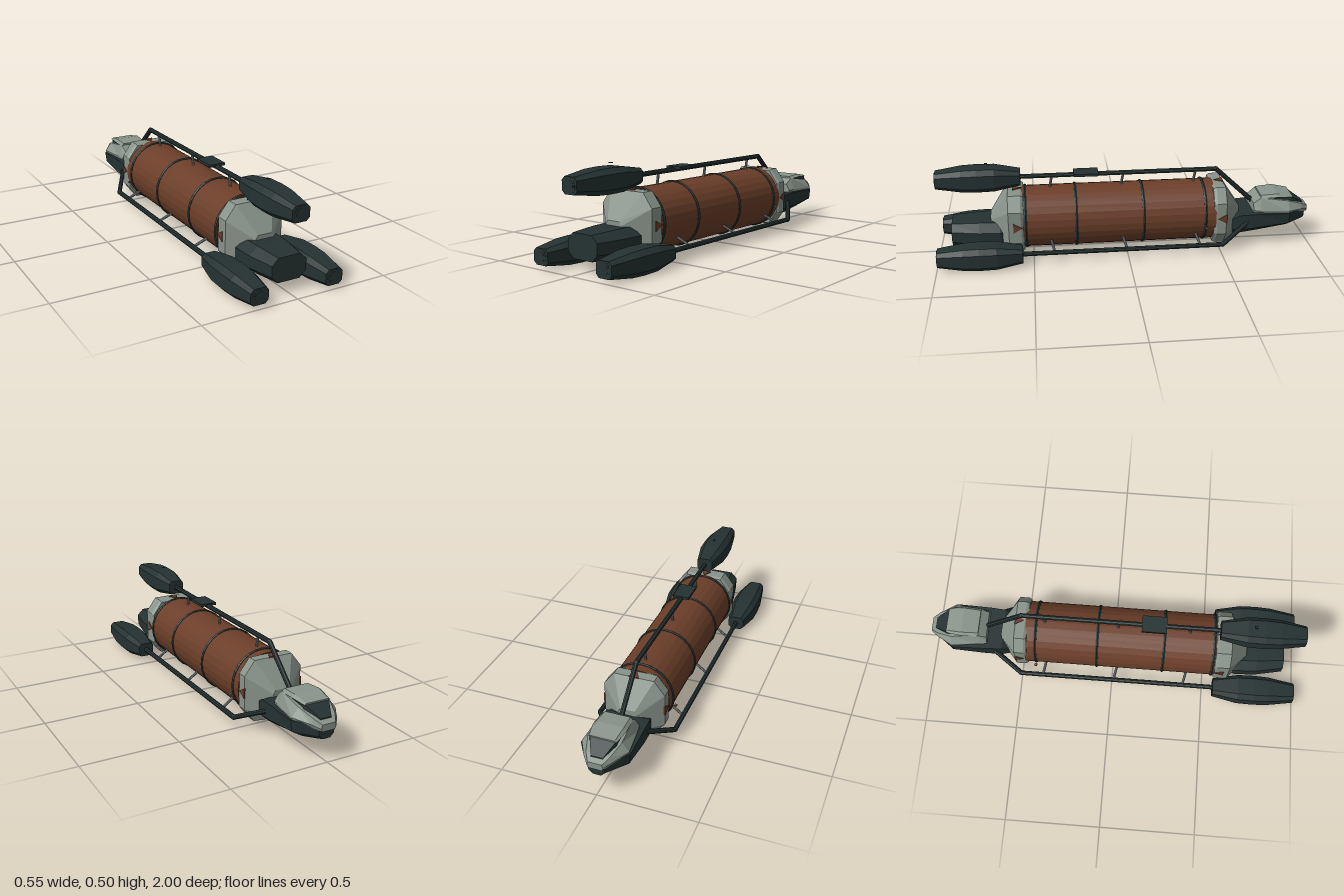
import * as THREE from 'three';

const material = (name, color) => {
  const m = new THREE.MeshStandardMaterial({ color });
  m.name = name;
  return m;
};

// Half profiles (bottom to top, x >= 0) are mirrored and joined along increasing z
function loft(sections) {
  const rings = sections.map(([z, half]) => [
    ...half.map(([x, y]) => [x, y, z]),
    ...half.slice().reverse().map(([x, y]) => [-x, y, z]),
  ]);
  const n = rings[0].length, pos = [];
  const tri = (a, b, c) => pos.push(...a, ...b, ...c);
  for (let s = 0; s < rings.length - 1; s++) {
    for (let i = 0; i < n; i++) {
      const j = (i + 1) % n, A = rings[s], B = rings[s + 1];
      tri(A[i], A[j], B[j]);
      tri(A[i], B[j], B[i]);
    }
  }
  const first = rings[0], last = rings[rings.length - 1];
  for (let i = 1; i < n - 1; i++) {
    tri(first[0], first[i + 1], first[i]);
    tri(last[0], last[i], last[i + 1]);
  }
  const g = new THREE.BufferGeometry();
  g.setAttribute('position', new THREE.Float32BufferAttribute(pos, 3));
  return g;
}

// Half of a rectangle with cut corners
const octagon = (hw, y0, y1, cx, cy) => [
  [hw - cx, y0], [hw, y0 + cy], [hw, y1 - cy], [hw - cx, y1],
];

export function createModel() {
  const root = new THREE.Group();
  root.name = 'spaceFreighter';
  const dark = material('darkHull', 0x253232);
  const brown = material('rustTank', 0x6b3e29);
  const grey = material('paleHull', 0x89948b);
  const steel = material('strutSteel', 0x7c8483);
  const red = material('redLight', 0x8a4a35);
  const blue = material('blueLight', 0x1c2c4c);

  const add = (name, geometry, mat, parent = root) => {
    const g = geometry.index ? geometry.toNonIndexed() : geometry;
    g.computeVertexNormals(); // faceted look
    const m = new THREE.Mesh(g, mat);
    m.name = name;
    parent.add(m);
    return m;
  };
  const box = (name, mat, size, at) => add(name, new THREE.BoxGeometry(...size), mat).position.set(...at);
  const rod = (name, mat, a, b, r) => {
    const p = new THREE.Vector3(...a), q = new THREE.Vector3(...b);
    const m = add(name, new THREE.CylinderGeometry(r, r, p.distanceTo(q), 8), mat);
    m.position.copy(p).add(q).multiplyScalar(0.5);
    m.quaternion.setFromUnitVectors(new THREE.Vector3(0, 1, 0), q.sub(p).normalize());
  };

  // Tank and its bands
  const AXIS = 0.19;
  const tank = new THREE.CylinderGeometry(0.164, 0.164, 1.02, 28).rotateX(Math.PI / 2);
  add('tank', tank, brown).position.set(0, AXIS, 0.04);
  for (const z of [0.535, 0.27, -0.085, -0.415]) {
    add('tankBand', new THREE.TorusGeometry(0.162, 0.009, 6, 28), dark).position.set(0, AXIS, z);
  }

  // Tapered end caps
  const full = octagon(0.16, 0.03, 0.35, 0.055, 0.073);
  const inner = octagon(0.152, 0.038, 0.342, 0.052, 0.07);
  const tip = octagon(0.05, 0.07, 0.215, 0.012, 0.02);
  add('frontCap', loft([[0.545, inner], [0.56, full], [0.625, full], [0.72, tip]]), grey);
  add('rearCap', loft([[-0.615, tip], [-0.525, full], [-0.475, full], [-0.46, inner]]), grey);

  // Triangular marks on the four flats of each cap
  for (let k = 0; k < 4; k++) {
    const side = new THREE.Group();
    side.name = 'capMarks';
    side.position.y = AXIS;
    side.rotation.z = k * Math.PI / 2;
    root.add(side);
    for (const [z, turn] of [[0.585, Math.PI], [-0.512, 0]]) {
      const mark = add('capMark', new THREE.CylinderGeometry(0.031, 0.031, 0.009, 3), brown, side);
      mark.position.set(0, 0.16, z);
      mark.rotation.y = turn;
    }
  }

  // Main engine block
  add('engineBlock', loft([
    [0.6, octagon(0.1, 0.07, 0.165, 0.04, 0.03)],
    [0.67, octagon(0.127, 0.05, 0.192, 0.045, 0.04)],
    [0.78, octagon(0.122, 0.051, 0.192, 0.045, 0.04)],
    [0.925, octagon(0.094, 0.062, 0.186, 0.034, 0.034)],
  ]), dark);

  // Three pods, each on a bent rail with struts to the tank
  const podSection = (s) => octagon(0.072 * s, -0.062 * s, 0.062 * s, 0.026 * s, 0.026 * s);
  const carriers = [
    { x: 0.204, y: 0.063, bend: -0.5, end: [0.1, 0.145, -0.665], foot: [0.135, 0.1] },
    { x: -0.204, y: 0.063, bend: -0.5, end: [-0.1, 0.145, -0.665], foot: [-0.135, 0.1] },
    { x: 0, y: 0.416, bend: -0.49, end: [0, 0.22, -0.7], foot: [0, 0.34] },
  ];
  for (const { x, y, bend, end, foot } of carriers) {
    const pod = new THREE.Group();
    pod.name = 'pod';
    pod.position.set(x, y, 0);
    root.add(pod);
    add('podBody', loft([
      [0.555, podSection(0.62)], [0.69, podSection(0.97)], [0.78, podSection(1)],
      [0.86, podSection(0.95)], [0.996, podSection(0.66)],
    ]), dark, pod);
    [[0.038, 0.998], [0.027, 0.9995]].forEach(([r, z]) => {
      const disc = new THREE.CylinderGeometry(r, r, 0.001, 24).rotateX(Math.PI / 2);
      add('podNozzle', disc, dark, pod).position.z = z;
    });
    rod('rail', dark, [x, y, 0.57], [x, y, bend], 0.013);
    rod('railBend', dark, [x, y, bend], end, 0.013);
    add('railJoint', new THREE.SphereGeometry(0.0135, 8, 6), dark).position.set(x, y, bend);
    for (const z of [0.39, 0.01, -0.38]) {
      rod('strut', steel, [x, y, z], [...foot, z + 0.015], 0.007);
    }
  }
  box('railPanel', dark, [0.09, 0.014, 0.13], [0, 0.425, 0.21]);

  // Small marker lights
  box('redMarker', red, [0.014, 0.006, 0.014], [-0.177, 0.147, -0.415]);
  box('whiteMarker', grey, [0.014, 0.006, 0.014], [0.177, 0.147, -0.415]);
  box('topMarker', blue, [0.014, 0.003, 0.014], [0, 0.495, 0.73]);

  // Cockpit: dark keel, pale cab, window band and roof
  add('cockpitKeel', loft([
    [-0.985, [[0.02, 0.115], [0.04, 0.135], [0.045, 0.185]]],
    [-0.88, [[0.06, 0.095], [0.118, 0.13], [0.125, 0.188]]],
    [-0.7, [[0.08, 0.078], [0.12, 0.11], [0.12, 0.188]]],
    [-0.61, [[0.08, 0.067], [0.115, 0.1], [0.115, 0.183]]],
    [-0.555, [[0.07, 0.07], [0.1, 0.1], [0.1, 0.15]]],
  ]), dark);
  add('cab', loft([
    [-1, [[0.034, 0.16], [0.04, 0.175], [0.035, 0.195]]],
    [-0.96, [[0.062, 0.17], [0.073, 0.19], [0.06, 0.216]]],
    [-0.88, [[0.115, 0.18], [0.12, 0.2], [0.085, 0.245]]],
    [-0.73, [[0.096, 0.18], [0.1, 0.2], [0.078, 0.266]]],
    [-0.69, [[0.09, 0.18], [0.093, 0.2], [0.072, 0.235]]],
  ]), grey);
  add('window', loft([
    [-0.975, [[0.03, 0.19], [0.03, 0.213]]],
    [-0.9, [[0.07, 0.2], [0.066, 0.262]]],
    [-0.8, [[0.075, 0.2], [0.07, 0.27]]],
  ]), dark);
  add('roof', loft([
    [-0.905, [[0.07, 0.26], [0.06, 0.267]]],
    [-0.82, [[0.085, 0.268], [0.07, 0.283]]],
    [-0.73, [[0.08, 0.262], [0.065, 0.276]]],
  ]), grey);

  return root;
}
